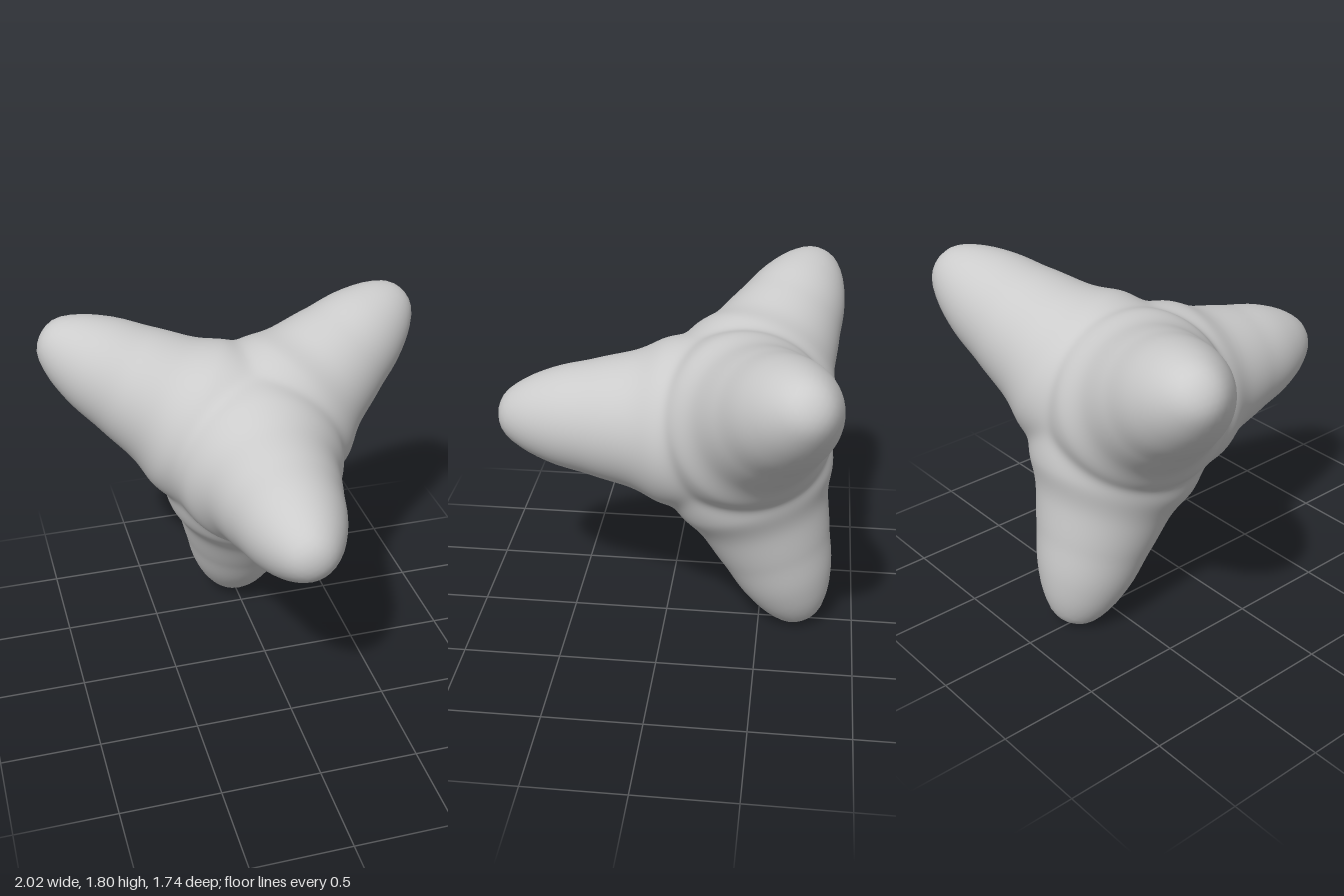
import * as THREE from 'three';
import { mergeVertices } from 'three/addons/utils/BufferGeometryUtils.js';

// Where the four arms meet, and their tetrahedral directions
const CENTRE = new THREE.Vector3(0, 1.135, -0.335);
const ARMS = [
  [0, 0, 1], // front
  [0, -0.943, -0.333], // bottom
  [0.816, 0.471, -0.333], // upper left
  [-0.816, 0.471, -0.333], // upper right
].map((a) => new THREE.Vector3(...a).normalize());

// Arm outline: [angle from the arm's axis in degrees, distance from the centre]
const PROFILE = [
  [-4.9, 1.174], [0, 1.2], [4.9, 1.174], [9.5, 1.085], [14.4, 0.965], [22.3, 0.778],
  [35, 0.612], [52, 0.543], [70.5, 0.49], [90, 0.49], [180, 0.49],
];

// Smooth (cubic Hermite) reading of the outline
function reach(angle) {
  let i = 1;
  while (i < PROFILE.length - 3 && angle > PROFILE[i + 1][0]) i++;
  const [p, a, b, n] = PROFILE.slice(i - 1, i + 3);
  const h = b[0] - a[0];
  const t = Math.min((angle - a[0]) / h, 1);
  const ma = ((b[1] - p[1]) / (b[0] - p[0])) * h;
  const mb = ((n[1] - a[1]) / (n[0] - a[0])) * h;
  const t2 = t * t, t3 = t2 * t;
  return (2 * t3 - 3 * t2 + 1) * a[1] + (t3 - 2 * t2 + t) * ma
    + (3 * t2 - 2 * t3) * b[1] + (t3 - t2) * mb;
}

// Surface distance in a direction: arm outlines blended, the nearest arm dominating
function surfaceRadius(dir) {
  let sum = 0, total = 0;
  for (const arm of ARMS) {
    const c = THREE.MathUtils.clamp(dir.dot(arm), -1, 1);
    const w = Math.exp(10 * c);
    sum += w * reach(THREE.MathUtils.radToDeg(Math.acos(c)));
    total += w;
  }
  return sum / total;
}

export function createModel() {
  // A fine sphere pulled out into four rounded arms
  let geo = new THREE.IcosahedronGeometry(1, 36);
  geo.deleteAttribute('normal');
  geo.deleteAttribute('uv');
  geo = mergeVertices(geo, 1e-5);
  const pos = geo.attributes.position;
  const v = new THREE.Vector3();
  for (let i = 0; i < pos.count; i++) {
    v.fromBufferAttribute(pos, i).normalize();
    v.multiplyScalar(surfaceRadius(v)).add(CENTRE);
    pos.setXYZ(i, v.x, v.y, v.z);
  }
  geo.computeVertexNormals();

  const body = new THREE.Mesh(geo, new THREE.MeshStandardMaterial({ color: 0xcccccc }));
  body.name = 'fourArmedBody';
  const model = new THREE.Group();
  model.name = 'tetrapod';
  model.add(body);
  return model;
}
